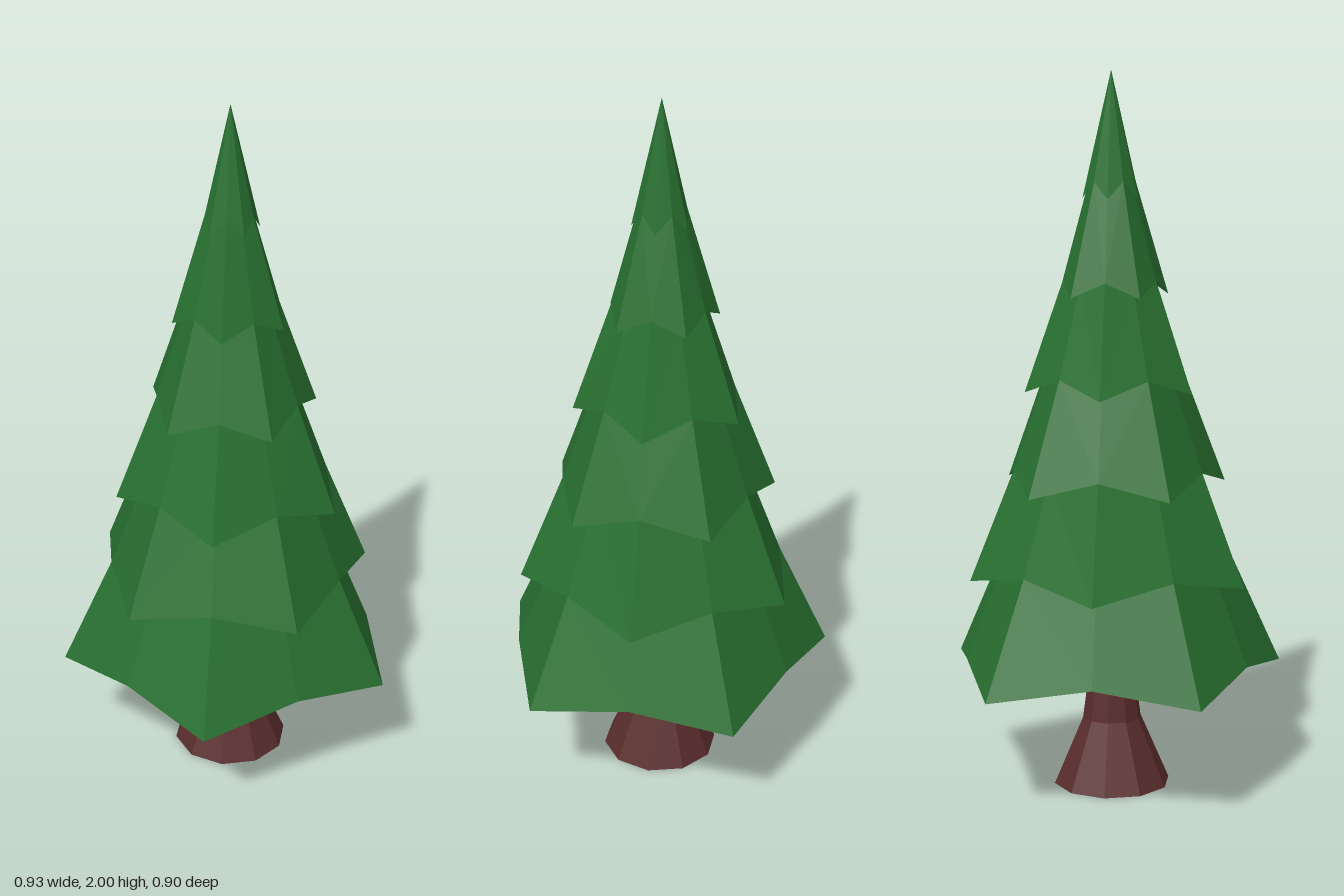
import * as THREE from 'three';

const CENTRE_Z = -0.04;
const SIDES = 10;

// Bough tiers from bottom to top: drooping tips alternate with raised notches
const TIERS = [
  { tipR: 0.49, tipY: 0.33, notchR: 0.412, notchY: 0.38 },
  { tipR: 0.40, tipY: 0.60, notchR: 0.345, notchY: 0.645 },
  { tipR: 0.325, tipY: 0.86, notchR: 0.275, notchY: 0.91 },
  { tipR: 0.243, tipY: 1.125, notchR: 0.205, notchY: 1.172 },
  { tipR: 0.16, tipY: 1.39, notchR: 0.135, notchY: 1.432 },
  { tipR: 0.08, tipY: 1.655, notchR: 0.068, notchY: 1.70 },
];
const APEX_Y = 2;

function ring(radiusAt, heightAt) {
  return Array.from({ length: SIDES }, (_, i) => {
    const a = (i / SIDES) * Math.PI * 2;
    return new THREE.Vector3(Math.sin(a) * radiusAt(i), heightAt(i), Math.cos(a) * radiusAt(i));
  });
}

function foliageGeometry() {
  const rings = [ring(() => 0, () => 0.38)]; // centre of the underside
  TIERS.forEach((t, k) => {
    // every other tier is turned by one side
    const isTip = (i) => (i + k) % 2 === 0;
    rings.push(ring((i) => (isTip(i) ? t.tipR : t.notchR), (i) => (isTip(i) ? t.tipY : t.notchY)));
    // the tier narrows to a neck tucked under the next one
    const next = TIERS[k + 1];
    if (next) rings.push(ring((i) => next.notchR * (isTip(i) ? 1 : 0.89), () => next.notchY));
    else rings.push(ring(() => 0, () => APEX_Y));
  });

  const positions = [];
  const tri = (a, b, c) => {
    if (new THREE.Triangle(a, b, c).getArea() > 1e-7) {
      for (const p of [a, b, c]) positions.push(p.x, p.y, p.z);
    }
  };
  for (let r = 0; r < rings.length - 1; r++) {
    for (let i = 0; i < SIDES; i++) {
      const j = (i + 1) % SIDES;
      const [a, b, c, d] = [rings[r][i], rings[r][j], rings[r + 1][j], rings[r + 1][i]];
      // alternate the diagonal so the boughs stay symmetrical
      if (i % 2) { tri(a, b, c); tri(a, c, d); }
      else { tri(a, b, d); tri(b, c, d); }
    }
  }
  const g = new THREE.BufferGeometry();
  g.setAttribute('position', new THREE.Float32BufferAttribute(positions, 3));
  g.computeVertexNormals();
  return g;
}

export function createModel() {
  const tree = new THREE.Group();
  tree.name = 'pineTree';

  const foliage = new THREE.Mesh(
    foliageGeometry(),
    new THREE.MeshStandardMaterial({ color: 0x287030, flatShading: true })
  );
  foliage.name = 'foliage';

  // Trunk with a flared foot
  const profile = [[0, 0], [0.165, 0], [0.083, 0.19], [0.055, 0.4], [0, 0.4]]
    .map(([r, y]) => new THREE.Vector2(r, y));
  const trunk = new THREE.Mesh(
    new THREE.LatheGeometry(profile, SIDES),
    new THREE.MeshStandardMaterial({ color: 0x5a2d2d, flatShading: true })
  );
  trunk.name = 'trunk';

  tree.add(foliage, trunk);
  for (const part of tree.children) part.position.z = CENTRE_Z;
  return tree;
}
